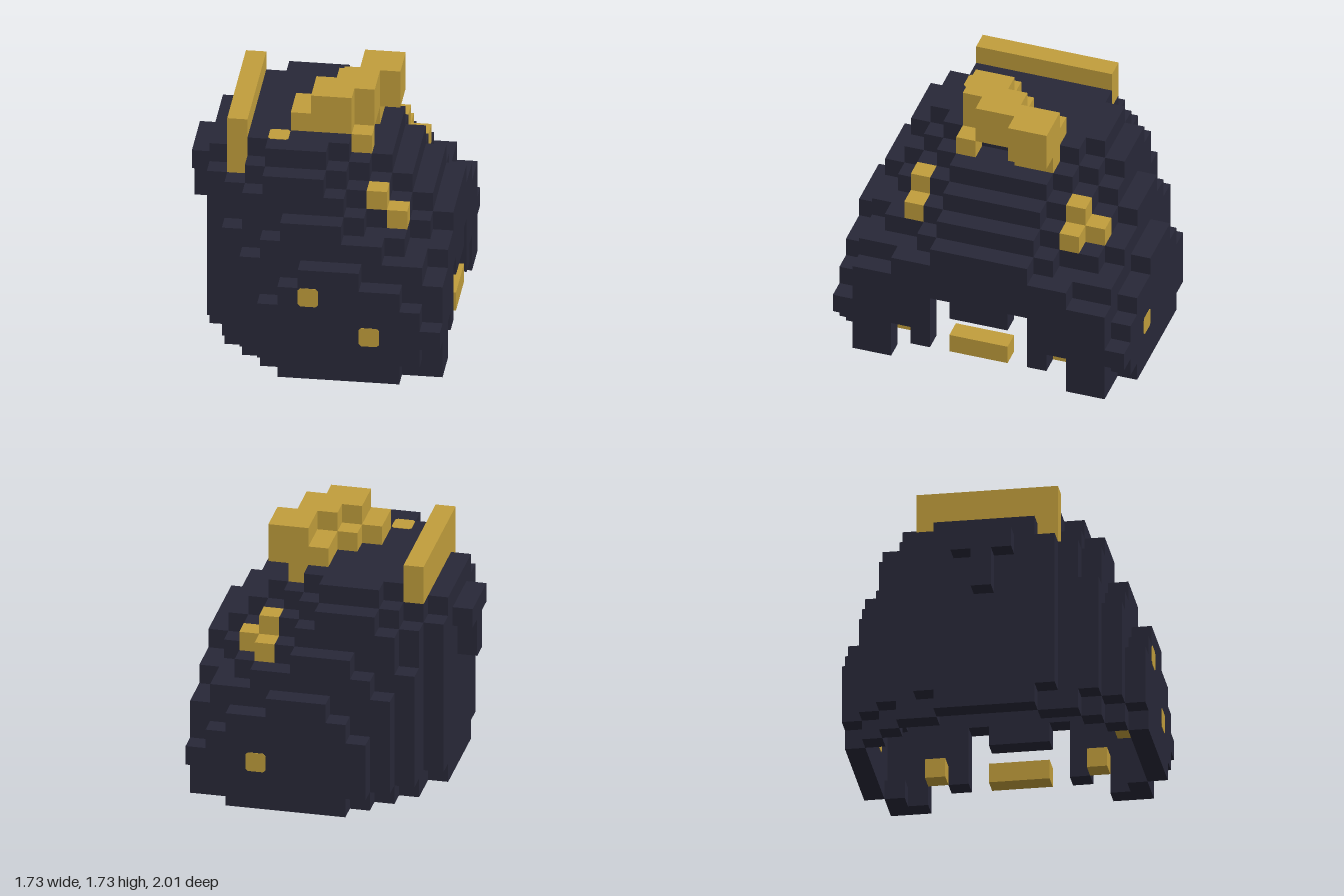
import * as THREE from 'three';
import { mergeGeometries } from 'three/addons/utils/BufferGeometryUtils.js';

const S = 2 / 15; // voxel size
const key = (i, j, k) => i + ',' + j + ',' + k;

// Helmet outline by distance from the middle slice: rows from the ground up, [first x, last x]
const rep = (n, a, b) => Array.from({ length: n }, () => [a, b]);
const centre = [...rep(7, 1, 12), [1, 11], [1, 10], [1, 9], [3, 7]];
const slices = [
  centre, centre, centre,
  [[2, 12], ...rep(5, 1, 12), [1, 11], [1, 10], [1, 9], [2, 8], [3, 7]],
  [...rep(6, 2, 12), [2, 10], [2, 9], [2, 8], [3, 7], [4, 6]],
  [[3, 12], ...rep(4, 2, 12), [2, 11], [2, 10], [3, 8], [3, 7], [4, 6]],
  [[4, 12], ...rep(4, 3, 12), [3, 11], [4, 9], [5, 7]],
  [[5, 10], [4, 11], [4, 12], [4, 11], [5, 10], [6, 8]],
];

// Adds a block of voxels, limits inclusive
function block(set, [i0, i1], [j0, j1], [k0, k1]) {
  for (let i = i0; i <= i1; i++)
    for (let j = j0; j <= j1; j++)
      for (let k = k0; k <= k1; k++) set.add(key(i, j, k));
  return set;
}

function makeShell() {
  const solid = new Set();
  for (let k = 0; k < 15; k++)
    slices[Math.abs(k - 7)].forEach(([a, b], j) => block(solid, [a, b], [j, j], [k, k]));
  // hollow inside, open below
  const shell = new Set();
  for (const c of solid) {
    const [i, j, k] = c.split(',').map(Number);
    const inner = [[1, 0, 0], [-1, 0, 0], [0, 1, 0], [0, 0, 1], [0, 0, -1]]
      .every(([a, b, d]) => solid.has(key(i + a, j + b, k + d)));
    if (!inner) shell.add(c);
  }
  // face opening with a short nose guard
  const cut = new Set();
  block(cut, [12, 12], [0, 0], [3, 11]);
  block(cut, [12, 12], [1, 2], [5, 9]);
  for (const k of [3, 11]) block(cut, [12, 12], [1, 1], [k, k]);
  for (const k of [5, 9]) block(cut, [12, 12], [3, 3], [k, k]);
  cut.forEach((c) => shell.delete(c));
  // raised clasp on the back
  block(shell, [0, 0], [8, 8], [6, 8]);
  block(shell, [0, 0], [6, 7], [7, 7]);
  return shell;
}

// Only the exposed faces of a voxel set
function voxelGeometry(set, all) {
  const sides = [
    [[1, 0, 0], 'y', Math.PI / 2], [[-1, 0, 0], 'y', -Math.PI / 2],
    [[0, 1, 0], 'x', -Math.PI / 2], [[0, -1, 0], 'x', Math.PI / 2],
    [[0, 0, 1], 'y', 0], [[0, 0, -1], 'y', Math.PI],
  ];
  const faces = [];
  for (const c of set) {
    const [i, j, k] = c.split(',').map(Number);
    for (const [[a, b, d], axis, angle] of sides) {
      if (all.has(key(i + a, j + b, k + d))) continue;
      const g = new THREE.PlaneGeometry(S, S);
      if (axis === 'x') g.rotateX(angle); else g.rotateY(angle);
      g.translate((i - 6 + a / 2) * S, (j + 0.5 + b / 2) * S, (k - 7 + d / 2) * S);
      faces.push(g);
    }
  }
  return mergeGeometries(faces);
}

// Square pin with clipped corners, passing through one shell cell
function rivetGeometry() {
  const h = S / 2, c = h - 0.016, depth = S + 0.006;
  const outline = [[h, -c], [h, c], [c, h], [-c, h], [-h, c], [-h, -c], [-c, -h], [c, -h]];
  const shape = new THREE.Shape(outline.map(([x, y]) => new THREE.Vector2(x, y)));
  return new THREE.ExtrudeGeometry(shape, { depth, bevelEnabled: false }).translate(0, 0, -depth / 2);
}

export function createModel() {
  const group = new THREE.Group();
  const dark = new THREE.MeshStandardMaterial({ color: 0x282838 });
  dark.name = 'dark steel';
  const gold = new THREE.MeshStandardMaterial({ color: 0xc19e3c });
  gold.name = 'gold';

  const trims = {
    rearCrest: block(new Set(), [2, 2], [10, 11], [4, 10]),
    topOrnament: new Set(),
    brows: new Set(),
    mouthBar: block(new Set(), [12, 12], [1, 1], [6, 8]),
    innerStuds: new Set([key(7, 1, 13), key(4, 1, 10)]),
  };
  block(trims.rearCrest, [2, 2], [9, 9], [5, 10]);

  // ornament stepping diagonally over the crown
  const o = trims.topOrnament;
  block(o, [8, 9], [11, 12], [5, 6]);
  block(o, [7, 7], [11, 11], [5, 6]);
  block(o, [8, 8], [10, 10], [5, 6]);
  block(o, [6, 6], [11, 11], [7, 7]);
  block(o, [7, 8], [11, 12], [7, 7]);
  block(o, [5, 5], [11, 11], [8, 9]);
  block(o, [6, 7], [11, 12], [8, 9]);
  block(o, [8, 8], [11, 12], [8, 8]);
  block(o, [8, 8], [10, 10], [9, 9]);

  // brows, one with an extra block
  for (const k of [3, 11]) {
    trims.brows.add(key(9, 8, k)).add(key(10, 7, k));
    trims.innerStuds.add(key(11, 1, k));
  }
  trims.brows.add(key(9, 7, 2));

  // gold replaces dark where they share a cell
  const shell = makeShell();
  const all = new Set(shell);
  for (const set of Object.values(trims))
    for (const c of set) { shell.delete(c); all.add(c); }

  const add = (name, geometry, material) => {
    const mesh = new THREE.Mesh(geometry, material);
    mesh.name = name;
    group.add(mesh);
    return mesh;
  };
  add('helmetShell', voxelGeometry(shell, all), dark);
  for (const [name, set] of Object.entries(trims)) add(name, voxelGeometry(set, all), gold);

  // rivets on the cheeks and crown
  const rivet = rivetGeometry();
  for (const [i, j, k] of [[6, 4, 14], [9, 2, 14], [9, 2, 0], [4, 10, 10]]) {
    const mesh = add('rivet', rivet, gold);
    mesh.position.set((i - 6) * S, (j + 0.5) * S, (k - 7) * S);
    if (j === 10) mesh.rotation.x = Math.PI / 2;
  }
  return group;
}
